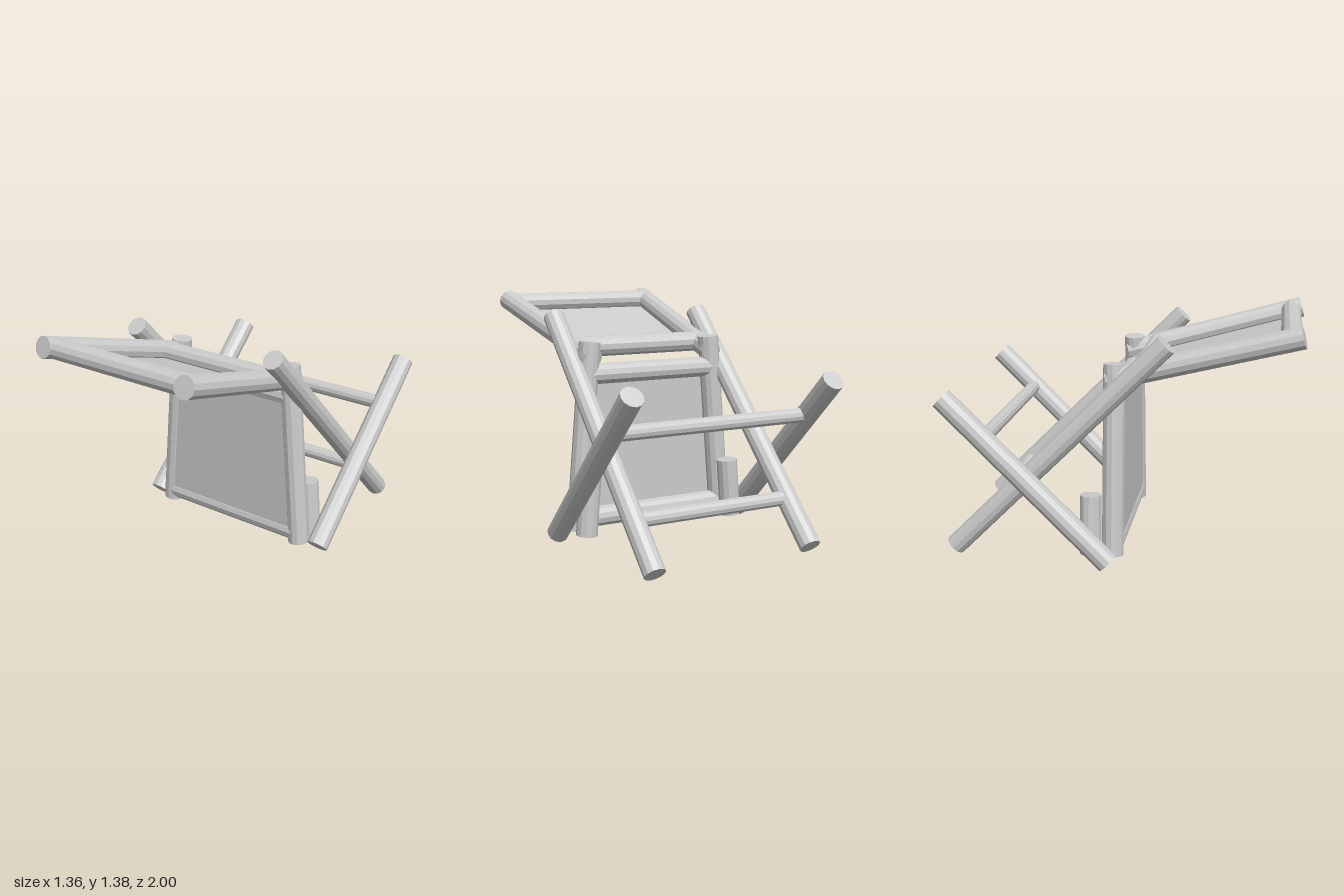
import * as THREE from 'three';

const material = new THREE.MeshStandardMaterial({ color: 0xcccccc, flatShading: true });
const SIDES = 12;

// Round pole between two points
function pole(name, from, to, radius) {
  const a = new THREE.Vector3(...from);
  const b = new THREE.Vector3(...to);
  const dir = b.clone().sub(a);
  const mesh = new THREE.Mesh(new THREE.CylinderGeometry(radius, radius, dir.length(), SIDES), material);
  mesh.name = name;
  mesh.position.copy(a).add(b).multiplyScalar(0.5);
  mesh.quaternion.setFromUnitVectors(new THREE.Vector3(0, 1, 0), dir.normalize());
  return mesh;
}

// Tapered frame: two rails, two crossbars and a sheet set towards one face
function framedPanel(name, sheetSide) {
  const group = new THREE.Group();
  group.name = name;
  const length = 1.09, wide = 0.488, narrow = 0.396, low = 0.065, high = 0.905;
  const railX = (y) => wide + (narrow - wide) * (y / length);

  for (const s of [-1, 1]) {
    group.add(pole(s > 0 ? 'leftRail' : 'rightRail', [s * wide, 0, 0], [s * narrow, length, 0], 0.062));
  }
  group.add(pole('wideCrossbar', [-railX(low), low, 0], [railX(low), low, 0], 0.06));
  group.add(pole('narrowCrossbar', [-railX(high), high, 0], [railX(high), high, 0], 0.06));

  const shape = new THREE.Shape([
    new THREE.Vector2(-railX(low), low), new THREE.Vector2(railX(low), low),
    new THREE.Vector2(railX(high), high), new THREE.Vector2(-railX(high), high),
  ]);
  const sheet = new THREE.Mesh(new THREE.ExtrudeGeometry(shape, { depth: 0.012, bevelEnabled: false }), material);
  sheet.name = 'sheet';
  sheet.position.z = sheetSide > 0 ? 0.037 : -0.049;
  group.add(sheet);
  return group;
}

export function createModel() {
  const model = new THREE.Group();
  model.name = 'foldingChair';

  // Upright panel and the raised panel hinged at its top
  const upright = framedPanel('uprightPanel', 1);
  upright.position.set(0, 0.042, -0.035);
  const raised = framedPanel('raisedPanel', -1);
  raised.position.set(0, 1.323, 0.982);
  raised.rotation.x = THREE.MathUtils.degToRad(-105);
  model.add(upright, raised);

  // Crossed poles and short stubs on each side
  for (const s of [-1, 1]) {
    const side = s > 0 ? 'left' : 'right';
    model.add(pole(side + 'InnerPole', [s * 0.488, 0.045, -0.957], [s * 0.488, 1.263, 0.26], 0.06));
    model.add(pole(side + 'OuterPole', [s * 0.615, 0.045, -0.045], [s * 0.615, 0.957, -0.957], 0.063));
    model.add(pole(side + 'Stub', [s * 0.488, 0.042, -0.163], [s * 0.46, 0.385, -0.163], 0.062));
  }

  // Rungs joining the pole pairs
  model.add(pole('upperRung', [-0.57, 0.735, -0.735], [0.57, 0.735, -0.735], 0.042));
  model.add(pole('lowerRung', [-0.47, 0.27, -0.735], [0.47, 0.27, -0.735], 0.042));

  return model;
}
